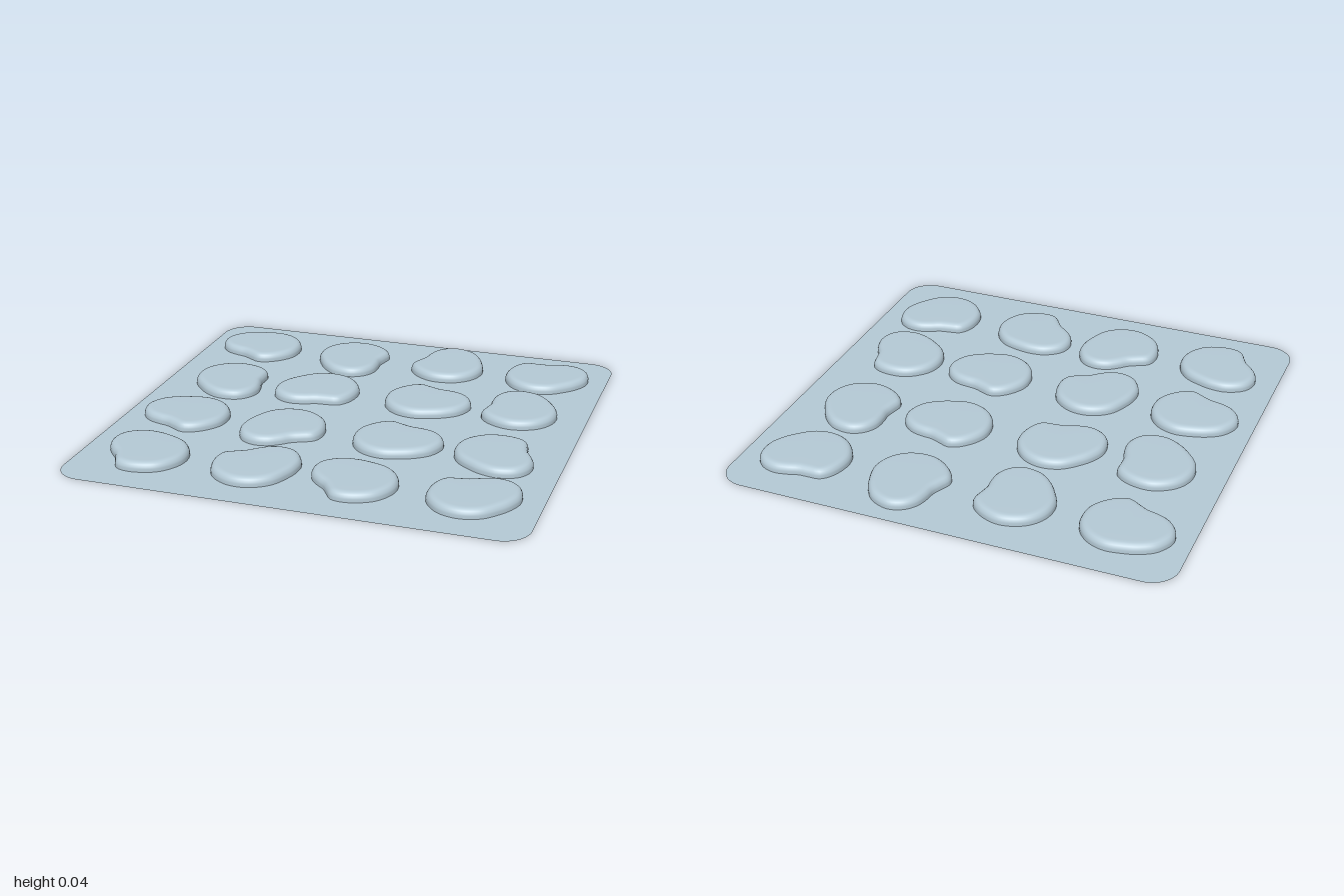
import * as THREE from 'three';

// Bean outline as [degrees from the lobe axis, radius]
const OUTLINE = [
  [-155, 0.166], [-122, 0.169], [-90, 0.172], [-58, 0.178], [-40, 0.195], [-22, 0.217],
  [0, 0.232], [17, 0.222], [33, 0.197], [49, 0.165], [65, 0.145], [82, 0.15],
  [101, 0.171], [125, 0.168], [165, 0.165],
];

// Wall section as [inset from the outline, height]
const SECTION = [
  [0, 0], [0, 0.014], [0.002, 0.022], [0.007, 0.031], [0.014, 0.037], [0.023, 0.04], [0.035, 0.041],
];

// Direction of the lobe in degrees, seen from above, rows from back to front
const LOBE_ANGLES = [
  [173, -78, 90, 25],
  [-65, 209, 2, 102],
  [175, 230, 2, -53],
  [140, 52, 148, 34],
];
const COLUMNS = [-0.693, -0.235, 0.235, 0.693];
const rad = THREE.MathUtils.degToRad;

// Smooth closed bean outline, counter-clockwise from above
function beanOutline(count) {
  const knots = OUTLINE.map(([a, r]) => new THREE.Vector3(r * Math.cos(rad(a)), r * Math.sin(rad(a)), 0));
  const points = new THREE.CatmullRomCurve3(knots, true).getSpacedPoints(count);
  points.pop();
  return points.map((p) => new THREE.Vector2(p.x, p.y));
}

// Hollow raised bean: inset rings rising to a flat top
function beanGeometry(outline) {
  const n = outline.length;
  const positions = [];
  const index = [];
  SECTION.forEach(([inset, y], j) => {
    outline.forEach((p, i) => {
      const t = outline[(i + 1) % n].clone().sub(outline[(i + n - 1) % n]).normalize();
      positions.push(p.x - t.y * inset, y, -(p.y + t.x * inset));
      if (j === SECTION.length - 1) return;
      const a = j * n + i;
      const b = j * n + ((i + 1) % n);
      index.push(a, b, a + n, b, b + n, a + n);
    });
  });
  // Flat top
  const last = (SECTION.length - 1) * n;
  const centre = positions.length / 3;
  positions.push(0, SECTION[SECTION.length - 1][1], 0);
  for (let i = 0; i < n; i++) index.push(last + i, last + ((i + 1) % n), centre);

  const geometry = new THREE.BufferGeometry();
  geometry.setAttribute('position', new THREE.Float32BufferAttribute(positions, 3));
  geometry.setIndex(index);
  geometry.computeVertexNormals();
  return geometry;
}

// Square with rounded corners
function sheetShape(half, r) {
  const shape = new THREE.Shape();
  const c = half - r;
  shape.absarc(c, c, r, 0, Math.PI / 2);
  shape.absarc(-c, c, r, Math.PI / 2, Math.PI);
  shape.absarc(-c, -c, r, Math.PI, Math.PI * 1.5);
  shape.absarc(c, -c, r, Math.PI * 1.5, Math.PI * 2);
  return shape;
}

export function createModel() {
  const group = new THREE.Group();
  group.name = 'mouldedSheet';
  const material = new THREE.MeshStandardMaterial({ color: 0xb5cad6, side: THREE.DoubleSide });

  const outline = beanOutline(72);
  const geometry = beanGeometry(outline);
  const shape = sheetShape(1, 0.12);

  // Raised beans, each open below through a hole in the sheet
  LOBE_ANGLES.forEach((row, r) => {
    row.forEach((angle, c) => {
      const x = COLUMNS[c];
      const z = COLUMNS[r];
      const bean = new THREE.Mesh(geometry, material);
      bean.name = `bean${r + 1}_${c + 1}`;
      bean.position.set(x, 0, z);
      bean.rotation.y = rad(angle);
      group.add(bean);

      const origin = new THREE.Vector2();
      const hole = outline.map((p) => p.clone().rotateAround(origin, rad(angle)).add(new THREE.Vector2(x, -z)));
      shape.holes.push(new THREE.Path(hole.reverse()));
    });
  });

  // Thin flat sheet
  const sheet = new THREE.Mesh(new THREE.ShapeGeometry(shape, 12).rotateX(-Math.PI / 2), material);
  sheet.name = 'sheet';
  group.add(sheet);
  return group;
}
